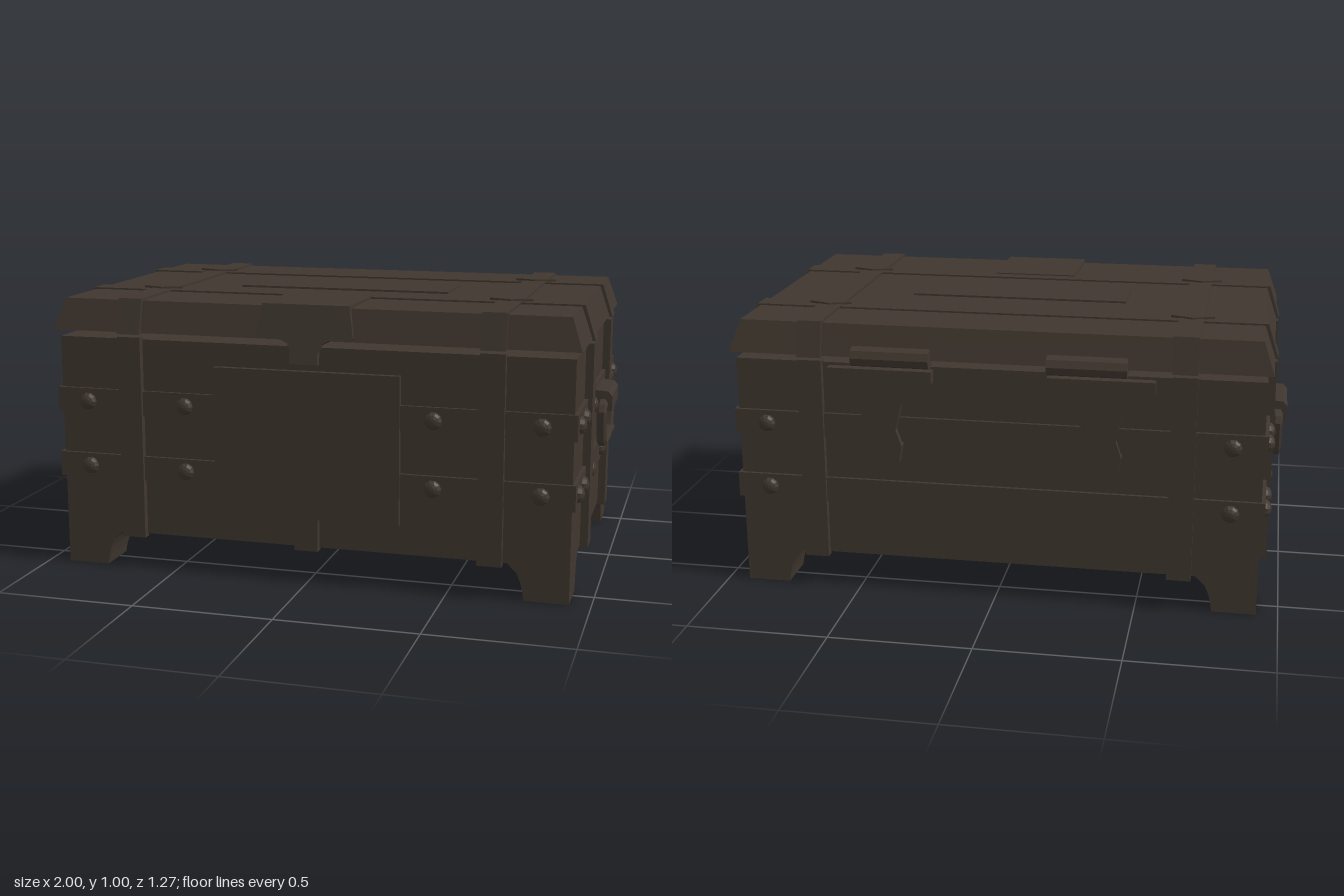
import * as THREE from 'three';

const CZ = 0.01; // the box sits slightly forward of the hinge-to-latch centre
const wood = new THREE.MeshStandardMaterial({ color: 0x3f362e, flatShading: true });
wood.name = 'darkBrown';

export function createModel() {
  const root = new THREE.Group();
  root.name = 'chest';

  const add = (name, geo, x = 0, y = 0, z = 0) => {
    const m = new THREE.Mesh(geo, wood);
    m.name = name;
    m.position.set(x, y, z);
    root.add(m);
    return m;
  };
  // box given by its limits
  const block = (name, x0, x1, y0, y1, z0, z1) =>
    add(name, new THREE.BoxGeometry(x1 - x0, y1 - y0, z1 - z0),
      (x0 + x1) / 2, (y0 + y1) / 2, (z0 + z1) / 2);
  // box whose top is narrower than its bottom
  const frustum = (name, bx, bz, tx, tz, y0, y1, x = 0, z = CZ) => {
    const g = new THREE.BoxGeometry(2, y1 - y0, 2);
    const p = g.attributes.position;
    for (let i = 0; i < p.count; i++) {
      const top = p.getY(i) > 0;
      p.setX(i, p.getX(i) * (top ? tx : bx));
      p.setZ(i, p.getZ(i) * (top ? tz : bz));
    }
    g.computeVertexNormals();
    return add(name, g, x, (y0 + y1) / 2, z);
  };
  const plate = (points, depth) => new THREE.ExtrudeGeometry(
    new THREE.Shape(points.map(([x, y]) => new THREE.Vector2(x, y))),
    { depth, bevelEnabled: false });

  // Body and lid, with a narrow gap between them
  block('body', -0.925, 0.925, 0.13, 0.845, CZ - 0.59, CZ + 0.59);
  frustum('lid', 0.945, 0.605, 0.907, 0.577, 0.87, 0.982);

  // Feet: outer corner stays square, inner faces curve out under the body
  const flare = [0.155, 0.16, 0.168, 0.182, 0.215];
  for (const sx of [-1, 1]) for (const sz of [-1, 1]) {
    const g = new THREE.BoxGeometry(1, 0.13, 1, 1, 4, 1);
    const p = g.attributes.position;
    for (let i = 0; i < p.count; i++) {
      const w = flare[Math.round((p.getY(i) / 0.13 + 0.5) * 4)];
      p.setX(i, sx * (0.925 - (0.5 - sx * p.getX(i)) * w));
      p.setZ(i, CZ + sz * (0.59 - (0.5 - sz * p.getZ(i)) * w));
    }
    g.computeVertexNormals();
    add('foot', g, 0, 0.065, 0);
  }

  // Horizontal bands with studs
  const stud = (x, y, z, axis, s) => {
    const m = add('stud', new THREE.SphereGeometry(0.032, 10, 4, 0, Math.PI * 2, 0, Math.PI / 2), x, y, z);
    m.scale.y = 0.75;
    if (axis === 'x') m.rotation.z = -s * Math.PI / 2;
    else m.rotation.x = s * Math.PI / 2;
  };
  for (const [y0, y1, ys] of [[0.57, 0.66, 0.613], [0.33, 0.42, 0.375]]) {
    block('horizontalBand', -0.938, 0.938, y0, y1, CZ - 0.602, CZ + 0.602);
    for (const s of [-1, 1]) {
      for (const z of [0.54, 0.41, 0.185, -0.16, -0.385, -0.515]) stud(s * 0.936, ys, z, 'x', s);
      for (const x of [0.82, 0.45]) stud(s * x, ys, CZ + 0.6, 'z', 1);
      stud(s * 0.82, ys, CZ - 0.6, 'z', -1);
    }
  }

  // Vertical straps on the body and matching straps over the lid
  for (const s of [-1, 1]) {
    const x = s * 0.652;
    for (const t of [-1, 1]) {
      const z = CZ + t * 0.6;
      block('bodyStrap', x - 0.043, x + 0.043, 0.12, 0.855, z - 0.015, z + 0.015);
    }
    frustum('lidStrapLong', 0.043, 0.618, 0.043, 0.59, 0.865, 0.99, x);
    const zc = s > 0 ? 0.282 : -0.308;
    for (const t of [-1, 1]) {
      const xs = t * 0.935;
      block('sideStrap', xs - 0.018, xs + 0.018, 0.12, 0.855, zc - 0.045, zc + 0.045);
      // pointed ornaments where lid straps cross
      const star = add('strapCrossing', new THREE.CylinderGeometry(1, 1, 0.012, 4), t * 0.655, 0.99, zc);
      star.scale.set(0.077, 1, 0.03);
    }
    frustum('lidStrapCross', 0.957, 0.045, 0.918, 0.045, 0.865, 0.988, 0, zc);
  }

  // Raised panel on the lid
  block('lidPanel', -0.4, 0.395, 0.975, 0.989, -0.105, 0.125);

  // Lock plate with its lower tab
  block('lockPlate', -0.335, 0.335, 0.235, 0.762, 0.59, 0.622);
  block('lockTab', -0.043, 0.043, 0.12, 0.24, 0.59, 0.622);

  // Latch: top leaf, sloped front leaf and hanging tongue
  block('latchTop', -0.157, 0.157, 0.975, 0.992, 0.29, 0.605);
  const latch = add('latchFront', plate([
    [-0.155, 0.12], [-0.172, 0.01], [-0.165, 0], [-0.09, 0], [-0.06, -0.015], [-0.05, -0.04],
    [-0.05, -0.085], [0.05, -0.085], [0.05, -0.04], [0.06, -0.015], [0.09, 0], [0.165, 0],
    [0.172, 0.01], [0.155, 0.12]].reverse(), 0.025), 0, 0.87, 0.604);
  latch.rotation.x = -0.18;

  // Side handles: grip mount and a ring hanging from it
  const ring = [[0.115, 0.6], [0.14, 0.575], [0.125, 0.515], [0.105, 0.46], [0.07, 0.452],
    [-0.015, 0.447], [-0.1, 0.452], [-0.135, 0.46], [-0.155, 0.515], [-0.17, 0.575], [-0.145, 0.6]];
  for (const s of [-1, 1]) {
    const curve = new THREE.CatmullRomCurve3(
      ring.map(([z, y]) => new THREE.Vector3(s * 0.968, y, z)), true, 'catmullrom', 0.2);
    add('handleRing', new THREE.TubeGeometry(curve, 44, 0.018, 6, true));
    const mount = add('handleMount', plate([
      [0.92, 0.65], [0.92, 0.57], [0.965, 0.565], [1, 0.575], [1, 0.628], [0.985, 0.645]], 0.23), 0, 0, -0.13);
    if (s < 0) {
      mount.rotation.y = Math.PI;
      mount.position.z = 0.1;
    }
  }

  // Back hinges: barrel with a winged leaf running down the body
  const leaf = [[-0.185, 0.835], [-0.185, 0.79], [-0.11, 0.755], [-0.075, 0.71], [-0.055, 0.62],
    [-0.075, 0.56], [-0.065, 0.5], [-0.035, 0.48], [0.035, 0.48], [0.065, 0.5], [0.075, 0.56],
    [0.055, 0.62], [0.075, 0.71], [0.11, 0.755], [0.185, 0.79], [0.185, 0.835]];
  for (const [x, bx] of [[0.4, 0.36], [-0.37, -0.322]]) {
    add('hingeLeaf', plate(leaf, 0.035), x, 0, -0.615);
    const barrel = add('hingeBarrel', new THREE.CylinderGeometry(0.036, 0.036, 0.275, 8), bx, 0.875, -0.594);
    barrel.rotation.z = Math.PI / 2;
  }

  return root;
}
